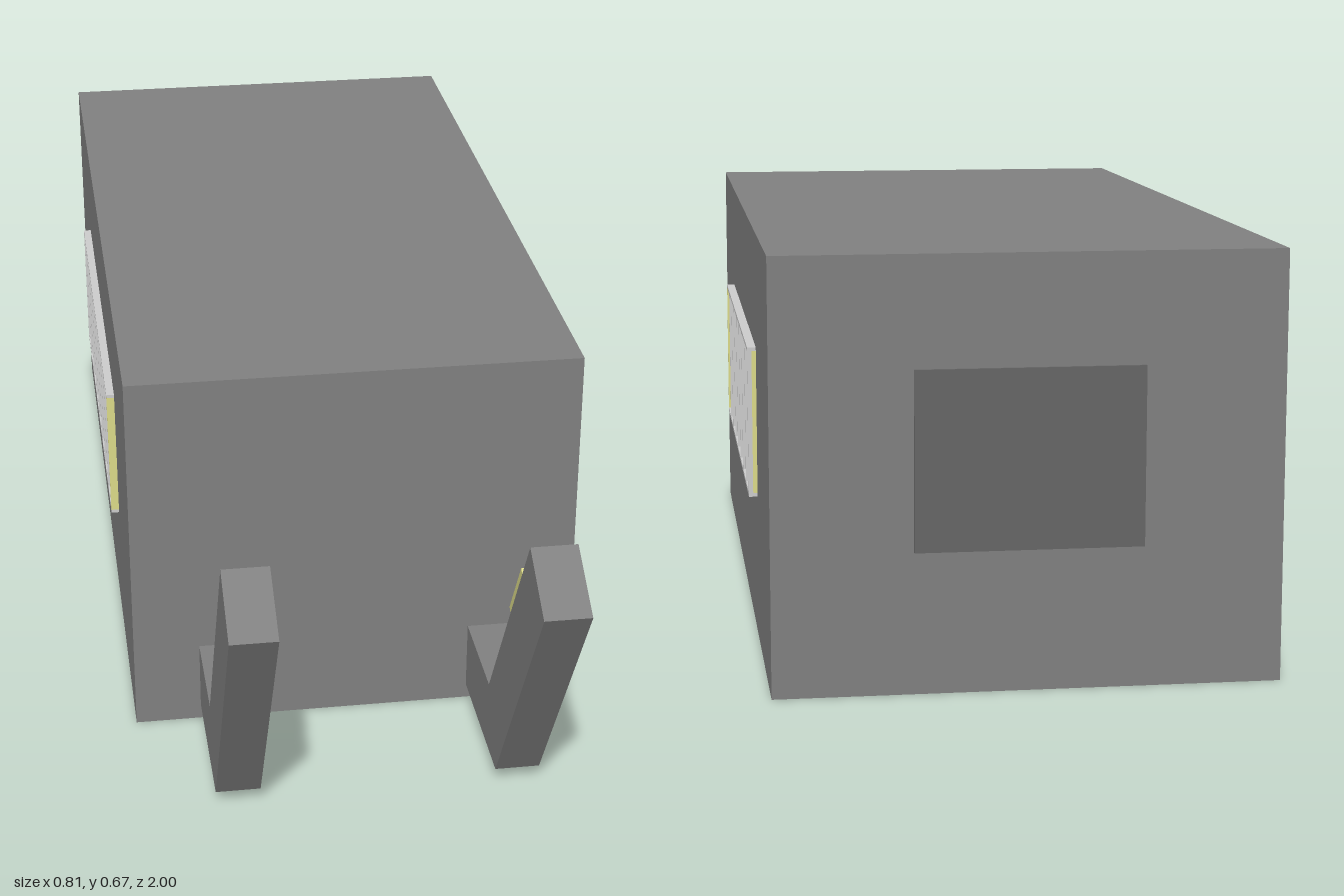
import * as THREE from 'three';

const material = (color) => new THREE.MeshStandardMaterial({ color, flatShading: true });
const bodyMat = material(0x808080);
const trimMat = material(0xcccccc);
const glowMat = material(0xdbd988);
const hatchMat = material(0x666666);

function box(name, mat, size, pos) {
  const mesh = new THREE.Mesh(new THREE.BoxGeometry(...size), mat);
  mesh.name = name;
  mesh.position.set(...pos);
  return mesh;
}

// Row of glowing panes in a shallow frame on one side wall
function createWindow(side) {
  const group = new THREE.Group();
  group.name = side > 0 ? 'leftWindow' : 'rightWindow';
  const z0 = -0.663, z1 = 0.11, y0 = 0.237, y1 = 0.481;
  const wall = 0.39, depth = 0.014, rim = 0.006, panes = 8;
  const length = z1 - z0, midZ = (z0 + z1) / 2, midY = (y0 + y1) / 2;
  const x = side * (wall + depth / 2);
  group.add(box('panes', glowMat, [0.007, y1 - y0 - 2 * rim, length], [side * (wall + 0.0035), midY, midZ]));
  for (const y of [y0 + rim / 2, y1 - rim / 2]) {
    group.add(box('frameRail', trimMat, [depth, rim, length], [x, y, midZ]));
  }
  for (let i = 0; i <= panes; i++) {
    const end = i === 0 ? rim / 2 : i === panes ? -rim / 2 : 0;
    const z = z0 + (length * i) / panes + end;
    group.add(box('mullion', i === panes ? glowMat : trimMat, [depth, y1 - y0 - 2 * rim, rim], [x, midY, z]));
  }
  return group;
}

// Bent front arm with a lamp on its rear slope
function createArm(name, x) {
  const group = new THREE.Group();
  group.name = name;
  const width = 0.076;
  const profile = [[0.44, 0.027], [0.715, 0.027], [1, 0.5], [0.89, 0.566], [0.64, 0.15], [0.44, 0.15]];
  const shape = new THREE.Shape(profile.map(([z, y]) => new THREE.Vector2(z, y)));
  const geometry = new THREE.ExtrudeGeometry(shape, { depth: width, bevelEnabled: false });
  geometry.translate(0, 0, -width / 2).rotateY(-Math.PI / 2);
  const arm = new THREE.Mesh(geometry, bodyMat);
  arm.name = 'bentArm';
  const lamp = box('lamp', glowMat, [0.052, 0.134, 0.04], [0, 0.399, 0.769]);
  lamp.rotation.x = 0.545;
  group.add(arm, lamp);
  group.position.x = x;
  return group;
}

export function createModel() {
  const model = new THREE.Group();
  model.name = 'model';
  model.add(box('body', bodyMat, [0.78, 0.667, 1.448], [0, 0.3335, -0.272]));
  // Thin plate on the back wall
  model.add(box('backHatch', hatchMat, [0.35, 0.277, 0.01], [0, 0.357, -0.995]));
  model.add(createWindow(1), createWindow(-1));
  model.add(createArm('leftArm', 0.242), createArm('rightArm', -0.237));
  return model;
}
